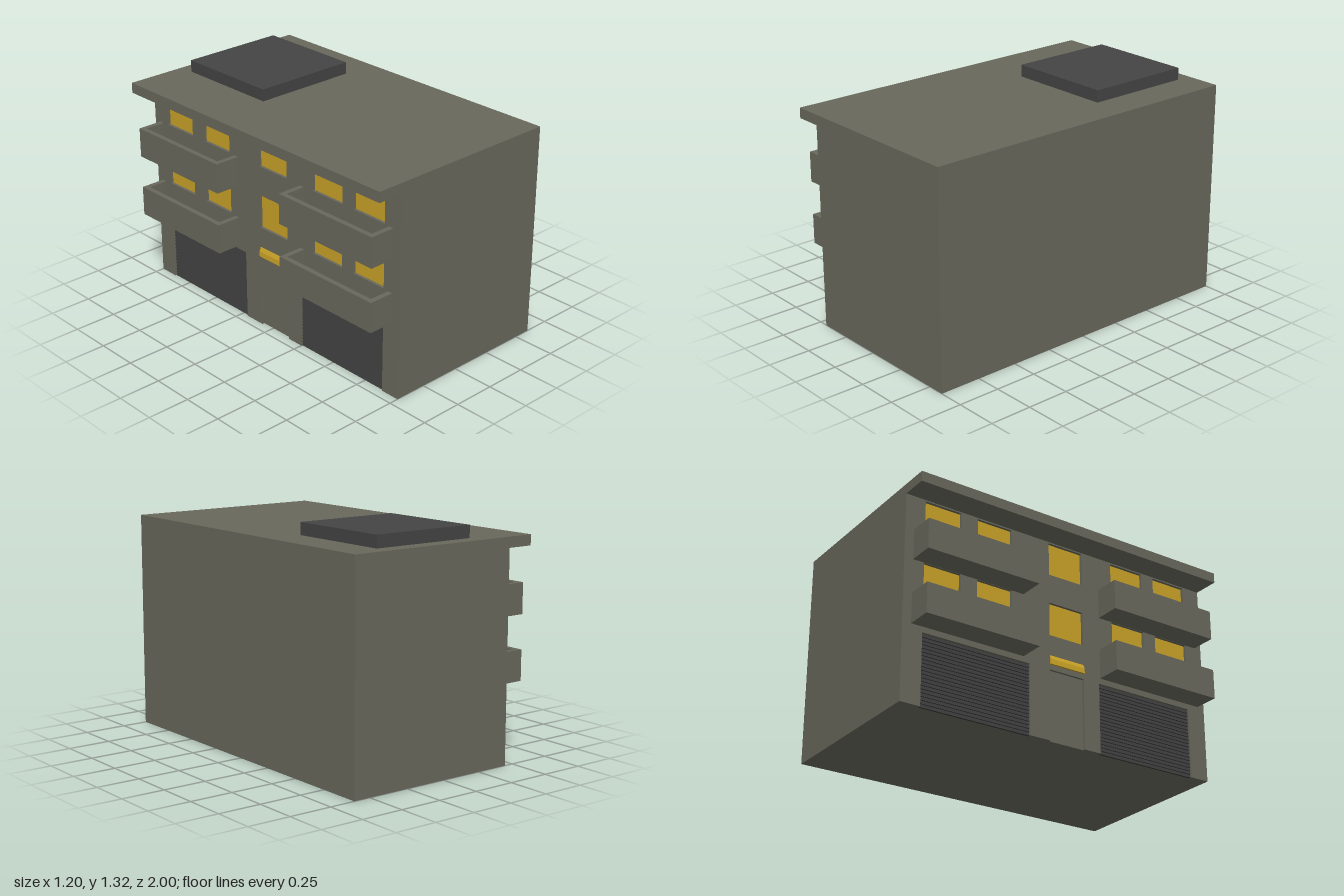
import * as THREE from 'three';

const mat = (color) => new THREE.MeshStandardMaterial({ color, flatShading: true });

export function createModel() {
  const model = new THREE.Group();
  const wall = mat(0x68685c), dark = mat(0x444444), shutter = mat(0x3a3a3a), glass = mat(0xc9a227);

  // Box from its min and max corners
  function box(name, material, [x0, y0, z0], [x1, y1, z1], parent = model) {
    const mesh = new THREE.Mesh(new THREE.BoxGeometry(x1 - x0, y1 - y0, z1 - z0), material);
    mesh.position.set((x0 + x1) / 2, (y0 + y1) / 2, (z0 + z1) / 2);
    mesh.name = name;
    parent.add(mesh);
    return mesh;
  }

  // Extrude a (z, y) shape from x towards -x
  function extrudeToFacade(name, material, shape, x, depth) {
    const mesh = new THREE.Mesh(new THREE.ExtrudeGeometry(shape, { depth, bevelEnabled: false }), material);
    mesh.rotation.y = -Math.PI / 2;
    mesh.position.x = x;
    mesh.name = name;
    model.add(mesh);
  }

  const FACE = -0.445, RECESS = 0.02, INNER = FACE + RECESS;
  const DOOR_TOP = 0.41;

  // Main block, overhanging roof and rooftop housing
  box('mainBlock', wall, [INNER, 0, -1], [0.6, 1.19, 1]);
  box('roofSlab', wall, [-0.6, 1.19, -1], [0.6, 1.25, 1]);
  box('rooftopHousing', dark, [-0.24, 1.25, -0.91], [0.39, 1.32, -0.275]);

  // Facade: doorways notch the lower edge, windows are holes
  const garages = [[-0.88, -0.21], [0.25, 0.885]];
  const entrance = [-0.08, 0.145];
  const facade = new THREE.Shape();
  facade.moveTo(-1, 0);
  for (const [a, b] of [garages[0], entrance, garages[1]]) {
    facade.lineTo(a, 0);
    facade.lineTo(a, DOOR_TOP);
    facade.lineTo(b, DOOR_TOP);
    facade.lineTo(b, 0);
  }
  facade.lineTo(1, 0);
  facade.lineTo(1, 1.19);
  facade.lineTo(-1, 1.19);
  facade.closePath();

  const windowSpans = [[-0.88, -0.655], [-0.55, -0.33], entrance, [0.35, 0.575], [0.66, 0.885]];
  for (const sill of [0.615, 0.985]) {
    for (const [a, b] of windowSpans) {
      const top = sill + 0.197;
      facade.holes.push(new THREE.Path([[a, sill], [a, top], [b, top], [b, sill]].map((p) => new THREE.Vector2(...p))));
      box('windowPane', glass, [INNER - 0.004, sill, a], [INNER + 0.01, top, b]);
    }
  }
  extrudeToFacade('facadeWall', wall, facade, INNER, RECESS);

  // Slatted garage shutters with a sawtooth section
  const slats = 20, pitch = DOOR_TOP / slats;
  for (const [a, b] of garages) {
    const profile = new THREE.Shape();
    profile.moveTo(0, 0);
    for (let i = 0; i < slats; i++) {
      profile.lineTo(0.012, i * pitch);
      profile.lineTo(0.004, (i + 1) * pitch);
    }
    profile.lineTo(0, DOOR_TOP);
    const mesh = new THREE.Mesh(new THREE.ExtrudeGeometry(profile, { depth: b - a, bevelEnabled: false }), shutter);
    mesh.rotation.y = Math.PI;
    mesh.position.set(INNER, 0, b);
    mesh.name = 'garageShutter';
    model.add(mesh);
  }

  // Entrance door and the sloping light panel above it
  box('entranceDoor', wall, [INNER - 0.006, 0, entrance[0]], [INNER + 0.01, DOOR_TOP, entrance[1]]);
  const slope = new THREE.Shape([[0, 0.44], [0.012, 0.44], [0.01, 0.47], [0, 0.495]].map((p) => new THREE.Vector2(...p)));
  const panel = new THREE.Mesh(
    new THREE.ExtrudeGeometry(slope, { depth: entrance[1] - entrance[0], bevelEnabled: false }), glass);
  panel.rotation.y = Math.PI;
  panel.position.set(FACE, 0, entrance[1]);
  panel.name = 'entranceLight';
  model.add(panel);

  // Balconies: floor, outer parapet and two end walls
  const T = 0.03, OUT = -0.6, IN = -0.45;
  for (const y of [0.44, 0.81]) {
    for (const [a, b] of [[-0.95, -0.255], [0.255, 0.95]]) {
      const balcony = new THREE.Group();
      balcony.name = 'balcony';
      const top = y + 0.175;
      box('balconyFloor', wall, [OUT + T, y, a + T], [IN, y + T, b - T], balcony);
      box('balconyParapet', wall, [OUT, y, a], [OUT + T, top, b], balcony);
      box('balconyEndWall', wall, [OUT + T, y, a], [IN, top, a + T], balcony);
      box('balconyEndWall', wall, [OUT + T, y, b - T], [IN, top, b], balcony);
      model.add(balcony);
    }
  }

  return model;
}
